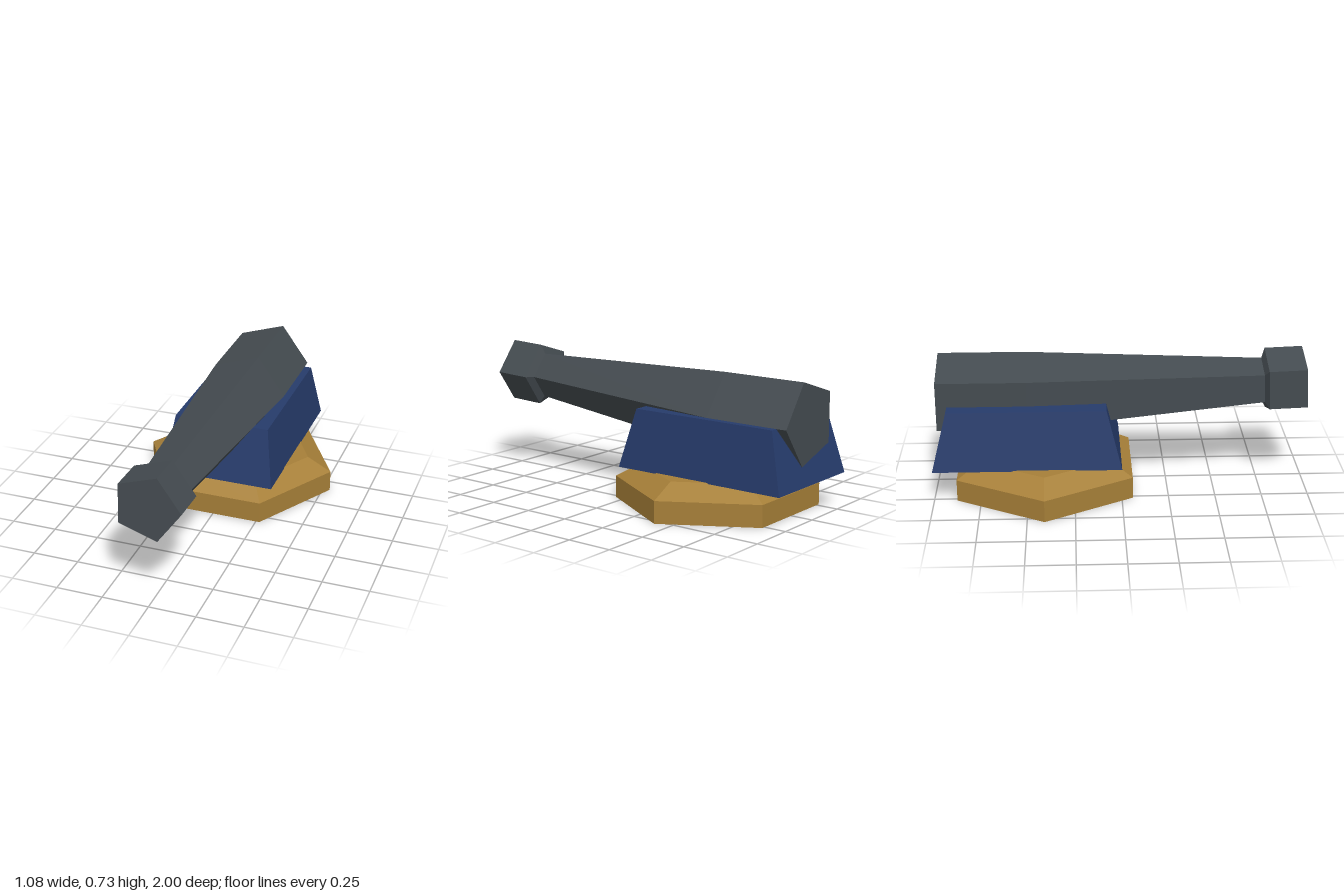
import * as THREE from 'three';

const mat = (name, color) => {
  const m = new THREE.MeshStandardMaterial({ color, flatShading: true });
  m.name = name;
  return m;
};

export function createModel() {
  const group = new THREE.Group();
  const add = (name, geometry, material) => {
    const mesh = new THREE.Mesh(geometry, material);
    mesh.name = name;
    group.add(mesh);
    return mesh;
  };

  // Hexagonal base with a bevelled top edge
  const profile = [[0, 0], [0.54, 0], [0.54, 0.118], [0.405, 0.19], [0, 0.19]]
    .map(([r, y]) => new THREE.Vector2(r, y));
  const base = new THREE.LatheGeometry(profile, 6, Math.PI / 2);
  add('base', base, mat('ochre', 0xa67f38)).position.z = -0.41;

  // Carriage block, tapering upwards
  const block = new THREE.BoxGeometry(0.63, 0.315, 1);
  const bp = block.attributes.position;
  for (let i = 0; i < bp.count; i++) {
    if (bp.getY(i) < 0) continue;
    bp.setX(i, Math.sign(bp.getX(i)) * 0.265);
    bp.setZ(i, Math.sign(bp.getZ(i)) * 0.42);
  }
  add('carriage', block, mat('navy', 0x263b6b)).position.set(0, 0.3425, -0.5);

  // Five-sided barrel: rings of z, height, radius and tilt, from muzzle to breech
  const rings = [
    [0.992, 0.563, 0.18, 0.045],
    [0.789, 0.555, 0.18, 0.045],
    [0.769, 0.551, 0.13, 0.045],
    [-0.5, 0.5, 0.226, 0.02],
    [-0.977, 0.5, 0.226, 0],
  ];
  const steps = rings.length - 1;
  const barrel = new THREE.CylinderGeometry(1, 1, 1, 5, steps, false, Math.PI / 2);
  barrel.rotateX(Math.PI / 2);
  const p = barrel.attributes.position;
  for (let i = 0; i < p.count; i++) {
    const [z, y, r, tilt] = rings[Math.round((0.5 - p.getZ(i)) * steps)];
    const dy = p.getY(i) * r;
    p.setXYZ(i, p.getX(i) * r, y + dy, z - dy * tilt);
  }
  barrel.computeVertexNormals();
  add('barrel', barrel, mat('gunmetal', 0x444b50));

  return group;
}
